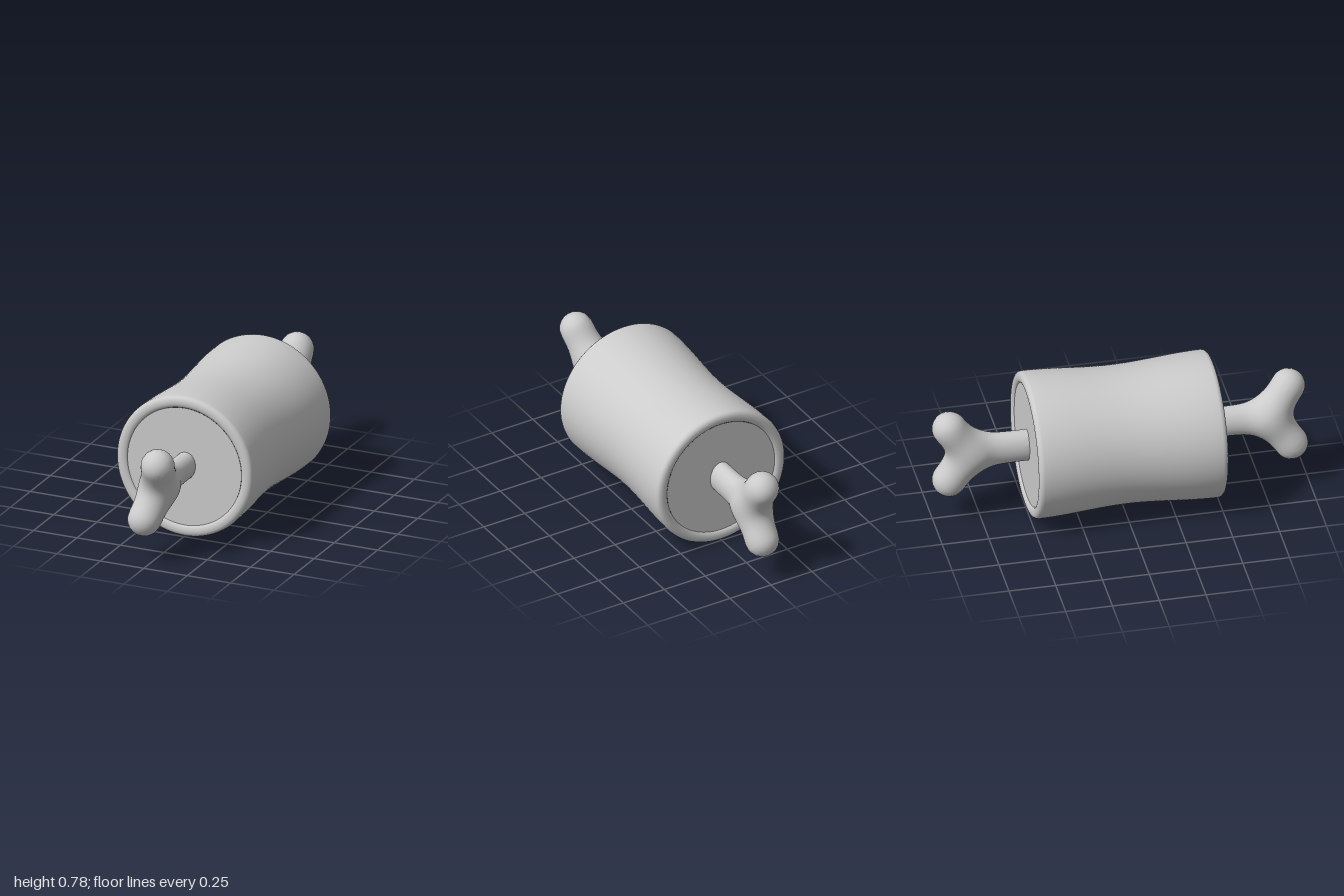
import * as THREE from 'three';
import { mergeVertices } from 'three/addons/utils/BufferGeometryUtils.js';

const CENTRE_Y = 0.393;
const material = new THREE.MeshStandardMaterial({ color: 0xcccccc });

function addMesh(parent, name, geometry) {
  const mesh = new THREE.Mesh(geometry, material);
  mesh.name = name;
  parent.add(mesh);
  return mesh;
}

// Distance to a rounded rod from the origin to tip, with a radius that changes along it
function rodDistance(p, tip, r0, r1) {
  const t = THREE.MathUtils.clamp(p.dot(tip) / tip.lengthSq(), 0, 1);
  return p.distanceTo(tip.clone().multiplyScalar(t)) - THREE.MathUtils.lerp(r0, r1, t);
}

// Bone end: oval shaft and two knobs blended together, as seen from the fork
function boneEndGeometry(shaftX, shaftY, knobRadius) {
  const reach = 0.36, blend = 0.03;
  const knobs = [1, -1].map((s) => new THREE.Vector3(0, s * 0.16, 0.11));
  const field = (p) => {
    const shaft = 0.07 * (Math.hypot(p.x / shaftX, p.y / shaftY, Math.max(0, p.z) / 0.07) - 1);
    const parts = [shaft, ...knobs.map((k) => rodDistance(p, k, 0.08, knobRadius))];
    return -blend * Math.log(parts.reduce((sum, d) => sum + Math.exp(-d / blend), 0));
  };

  // Push each point of a sphere along its ray to the blended surface
  let geometry = new THREE.SphereGeometry(1, 56, 80).rotateX(Math.PI / 2);
  geometry.deleteAttribute('uv');
  geometry.deleteAttribute('normal');
  const pos = geometry.attributes.position;
  const dir = new THREE.Vector3(), p = new THREE.Vector3();
  for (let i = 0; i < pos.count; i++) {
    dir.fromBufferAttribute(pos, i).normalize();
    let near = 0, far = reach;
    for (let n = 0; n < 24; n++) {
      const mid = (near + far) / 2;
      if (field(p.copy(dir).multiplyScalar(mid)) < 0) near = mid;
      else far = mid;
    }
    p.copy(dir).multiplyScalar(near);
    pos.setXYZ(i, p.x, p.y, p.z);
  }
  geometry = mergeVertices(geometry, 1e-5);
  geometry.computeVertexNormals();
  return geometry;
}

// Meat roll: waisted side with a rounded rim standing proud of each end face
function meatGeometry() {
  const rim = [[0.326, 0.484], [0.329, 0.493], [0.336, 0.5], [0.347, 0.504], [0.358, 0.505],
    [0.37, 0.504], [0.381, 0.499], [0.388, 0.49], [0.391, 0.477]];
  const points = rim.map(([r, z]) => new THREE.Vector2(r, -z));
  const steps = 24;
  for (let i = 1; i < steps; i++) {
    const z = -0.477 + (0.954 * i) / steps;
    points.push(new THREE.Vector2(0.379 - 0.012 * Math.cos((z / 0.477) * Math.PI), z));
  }
  for (const [r, z] of [...rim].reverse()) points.push(new THREE.Vector2(r, z));
  return new THREE.LatheGeometry(points, 96).rotateX(Math.PI / 2);
}

export function createModel() {
  const model = new THREE.Group();
  model.name = 'meatOnBone';

  addMesh(model, 'meatRoll', meatGeometry()).position.y = CENTRE_Y;

  // Cut faces set inside the rims
  for (const [name, side] of [['frontCutFace', 1], ['backCutFace', -1]]) {
    const face = addMesh(model, name, new THREE.CircleGeometry(0.328, 96));
    face.position.set(0, CENTRE_Y, side * 0.492);
    if (side < 0) face.rotation.y = Math.PI;
  }

  // Front knobs lean to one side, back knobs stand upright
  const front = addMesh(model, 'frontBone', boneEndGeometry(0.062, 0.08, 0.089));
  front.position.set(0, 0.395, 0.8);
  front.rotation.z = -0.24;

  const back = addMesh(model, 'backBone', boneEndGeometry(0.064, 0.089, 0.09));
  back.position.set(0, 0.395, -0.8);
  back.rotation.y = Math.PI;

  return model;
}
